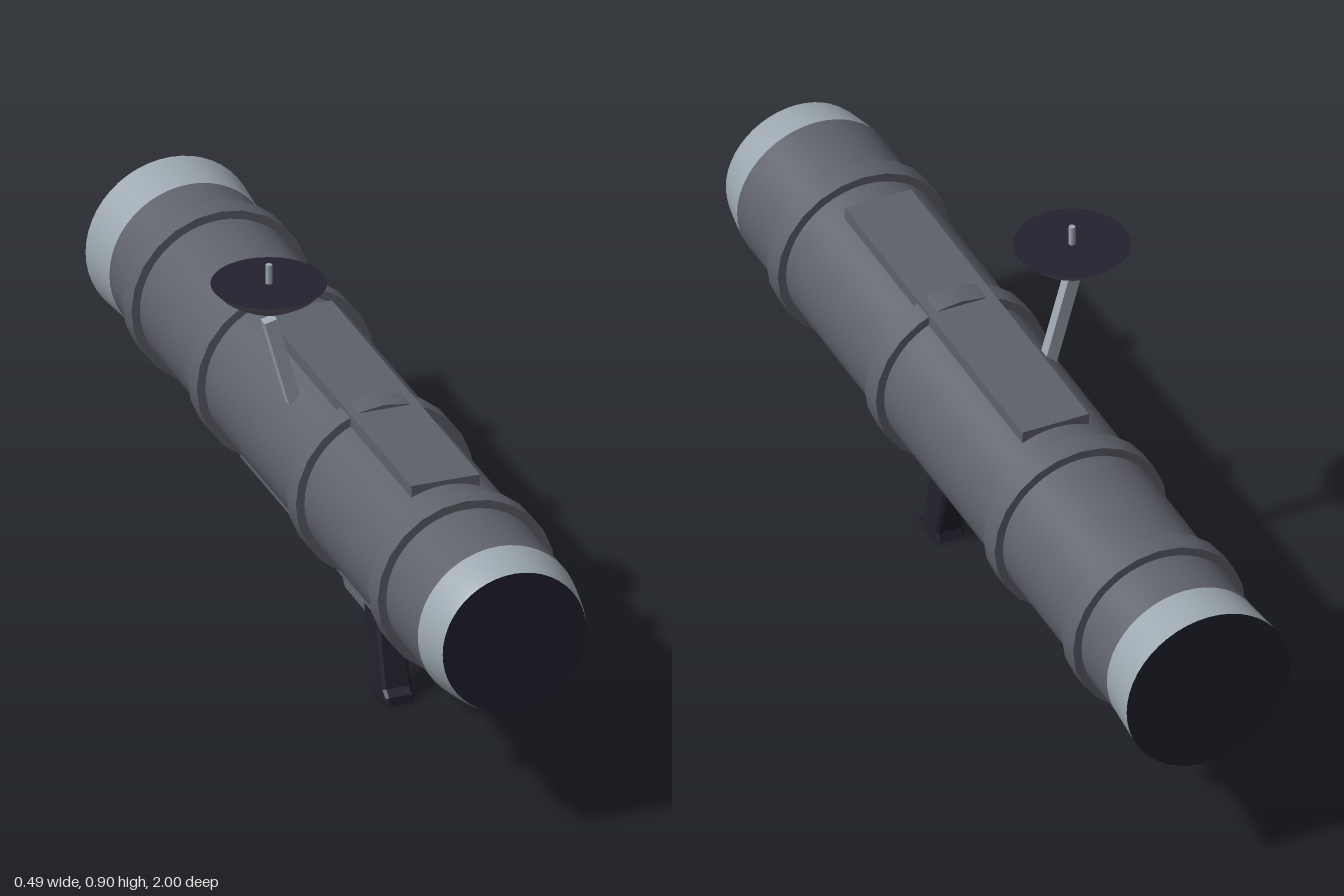
import * as THREE from 'three';

const mat = (name, color) => {
  const m = new THREE.MeshStandardMaterial({ color });
  m.name = name;
  return m;
};

export function createModel() {
  const grey = mat('body grey', 0x5f616b);
  const light = mat('light steel', 0x9ca7af);
  const dark = mat('dark navy', 0x22212e);
  const root = new THREE.Group();
  const CX = 0.047, CY = 0.452;

  const add = (name, geo, material, x = 0, y = 0, z = 0) => {
    const m = new THREE.Mesh(geo, material);
    m.name = name;
    m.position.set(x, y, z);
    root.add(m);
    return m;
  };
  // Lathe from [radius, height] points, listed bottom to top
  const lathe = (pts, n) => new THREE.LatheGeometry(pts.map(p => new THREE.Vector2(...p)), n);
  // Lathe laid along z around the tube axis
  const ring = (name, pts, material, n = 48) =>
    add(name, lathe(pts, n).rotateX(Math.PI / 2), material, CX, CY);
  // Side profile given as [z, y] points, extruded across x
  const sideExtrude = (pts, width, bevel) => {
    const shape = new THREE.Shape(pts.map(([z, y]) => new THREE.Vector2(-z, y)));
    const g = new THREE.ExtrudeGeometry(shape, {
      depth: width - 2 * bevel, bevelEnabled: bevel > 0, bevelSize: bevel,
      bevelThickness: bevel, bevelOffset: -bevel, bevelSegments: 1,
    });
    return g.translate(0, 0, bevel - width / 2).rotateY(Math.PI / 2);
  };

  // Launch tube with its muzzle and flared tail
  ring('tube', [[0.178, -0.885], [0.178, 0.905]], grey);
  ring('muzzle', [[0.178, 0.905], [0.172, 0.945], [0.164, 0.985], [0.159, 1]], light);
  ring('tail', [[0.187, -1], [0.186, -0.985], [0.178, -0.885]], light);
  add('muzzleCap', new THREE.CircleGeometry(0.159, 48), dark, CX, CY, 1);
  add('tailCap', new THREE.CircleGeometry(0.187, 48).rotateY(Math.PI), dark, CX, CY, -1);

  // Reinforcing bands
  for (const z of [0.695, 0.22, -0.355, -0.735]) {
    add('band', new THREE.CylinderGeometry(0.197, 0.197, 0.054, 24).rotateX(Math.PI / 2), grey, CX, CY, z);
  }

  // Top plate
  add('topPlate', new THREE.BoxGeometry(0.152, 0.05, 0.86), grey, CX, 0.615, 0.17);

  // Lower rail with chamfered bottom edges
  const w = 0.059, c = 0.014;
  const rail = new THREE.Shape([[-w, 0.31], [-w, 0.205 + c], [-w + c, 0.205], [w - c, 0.205], [w, 0.205 + c], [w, 0.31]]
    .map(p => new THREE.Vector2(...p)));
  add('lowerRail', new THREE.ExtrudeGeometry(rail, { depth: 0.885, bevelEnabled: false }), grey, CX, 0, -0.44);
  add('railPad', new THREE.BoxGeometry(0.06, 0.01, 0.075), dark, CX, 0.201, -0.36);

  // Pistol grip, flared at the foot
  add('grip', sideExtrude([[0.27, 0.21], [0.2, 0.21], [0.2, 0.185], [0.25, 0.02], [0.243, 0],
    [0.34, 0], [0.338, 0.018], [0.32, 0.03]], 0.062, 0.006), dark, CX);

  // Trigger and guard
  add('triggerGuard', sideExtrude([[0.21, 0.143], [0.06, 0.143], [0.048, 0.155], [0.048, 0.21], [0.058, 0.21],
    [0.058, 0.16], [0.065, 0.153], [0.21, 0.153]], 0.034, 0), grey, CX);
  add('trigger', sideExtrude([[0.138, 0.21], [0.122, 0.21], [0.124, 0.172], [0.132, 0.172]], 0.014, 0), grey, CX);

  // Leaning mast
  const mast = add('mast', new THREE.BoxGeometry(0.028, 0.22, 0.026), light, -0.096, 0.668, 0.025);
  mast.rotation.z = Math.atan2(0.055, 0.2);

  // Dish with flat dark face and feed pin
  const dish = lathe([[0, 0.795], [0.025, 0.795], [0.065, 0.814], [0.1, 0.835], [0.121, 0.857]], 32);
  add('dishBowl', dish, grey, -0.125, 0, 0.025);
  add('dishFace', new THREE.CircleGeometry(0.121, 32).rotateX(-Math.PI / 2), dark, -0.125, 0.857, 0.025);
  add('feedPin', new THREE.CylinderGeometry(0.007, 0.007, 0.045, 10), light, -0.125, 0.878, 0.025);

  return root;
}
